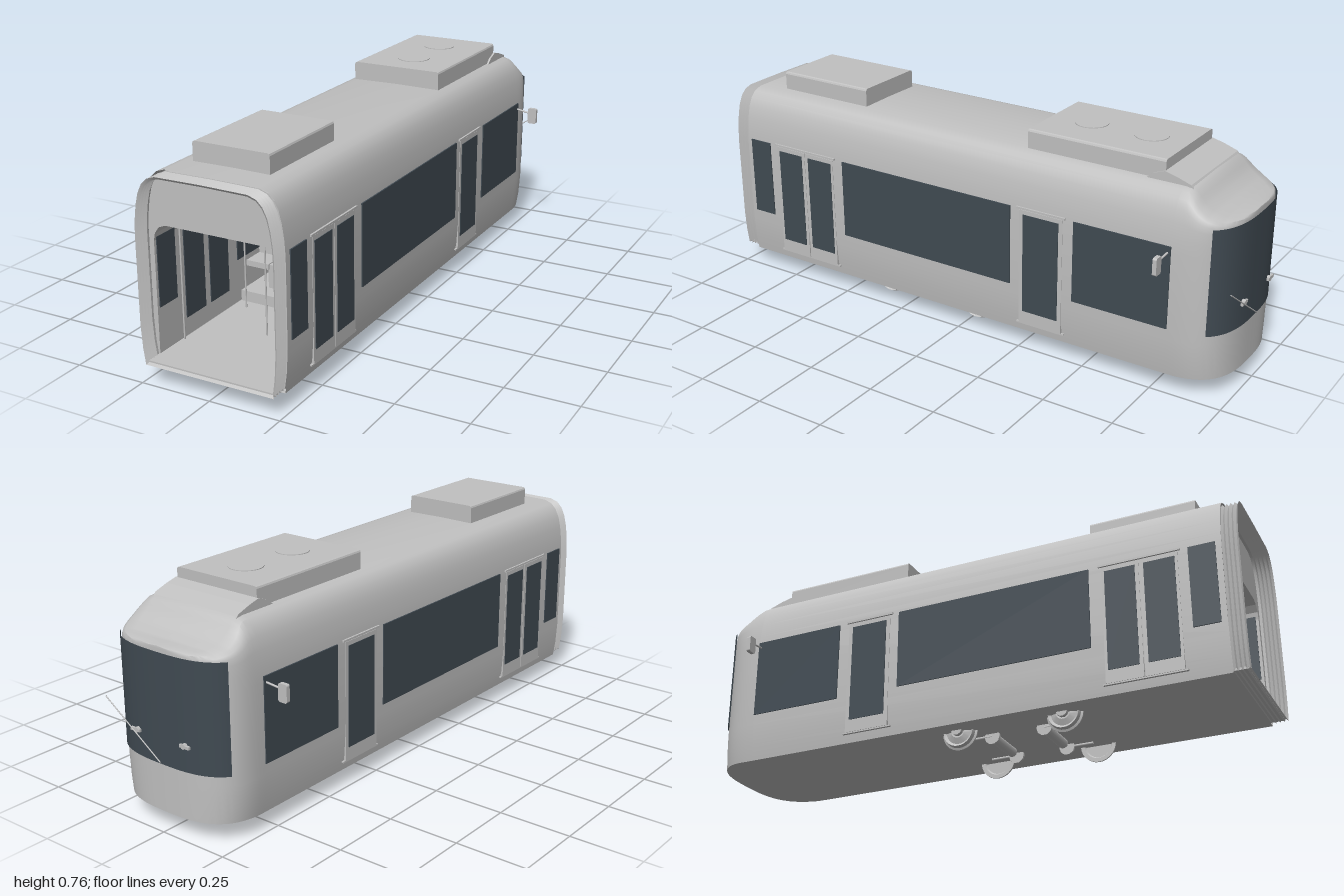
import * as THREE from 'three';
import { toCreasedNormals } from 'three/addons/utils/BufferGeometryUtils.js';

export function createModel() {
  const model = new THREE.Group();
  const grey = new THREE.MeshStandardMaterial({ color: 0xc0c0c0, side: THREE.DoubleSide });
  grey.name = 'lightGrey';
  const glass = new THREE.MeshStandardMaterial({ color: 0x404a52, side: THREE.DoubleSide });
  glass.name = 'darkGlass';

  const add = (name, geo, mat = grey, x = 0, y = 0, z = 0) => {
    const m = new THREE.Mesh(geo, mat);
    m.name = name;
    m.position.set(x, y, z);
    model.add(m);
    return m;
  };
  // Box given by its limits on each axis
  const box = (name, x0, x1, y0, y1, z0, z1, mat = grey) =>
    add(name, new THREE.BoxGeometry(Math.abs(x1 - x0), y1 - y0, Math.abs(z1 - z0)), mat,
      (x0 + x1) / 2, (y0 + y1) / 2, (z0 + z1) / 2);
  // Round bar between two points
  const rod = (name, a, b, r, mat = grey) => {
    const p = new THREE.Vector3(...a), q = new THREE.Vector3(...b), d = q.clone().sub(p);
    const m = add(name, new THREE.CylinderGeometry(r, r, d.length(), 10), mat);
    m.position.copy(p).add(q).multiplyScalar(0.5);
    m.quaternion.setFromUnitVectors(new THREE.Vector3(0, 1, 0), d.normalize());
    return m;
  };

  // Half cross-sections: along the saloon, and at the nose
  const mainHalf = [[0.237, 0.065], [0.245, 0.12], [0.25, 0.2], [0.25, 0.5], [0.247, 0.55], [0.24, 0.6],
    [0.23, 0.64], [0.215, 0.67], [0.195, 0.69], [0.165, 0.7], [0, 0.702]];
  const noseHalf = [[0.237, 0.07], [0.245, 0.12], [0.25, 0.2], [0.25, 0.5], [0.25, 0.54], [0.25, 0.575],
    [0.249, 0.59], [0.245, 0.598], [0.23, 0.605], [0.18, 0.61], [0, 0.613]];
  const section = (blend = 0, sx = 1, inset = 0) => {
    const half = mainHalf.map(([x, y], i) => {
      const px = THREE.MathUtils.lerp(x, noseHalf[i][0], blend) * sx;
      const py = THREE.MathUtils.lerp(y, noseHalf[i][1], blend);
      return [px * (1 - inset / 0.25), 0.38 + (py - 0.38) * (1 - inset / 0.32)];
    });
    const left = half.slice(0, -1).reverse().map(([x, y]) => [-x, y]);
    return [...half, ...left];
  };
  // Skin over closed rings of [x, y] points at given z
  const loft = (rings, crease) => {
    const pos = [], idx = [], n = rings[0].pts.length;
    rings.forEach(r => r.pts.forEach(([x, y]) => pos.push(x, y, r.z)));
    for (let i = 0; i < rings.length - 1; i++) {
      for (let j = 0; j < n; j++) {
        const a = i * n + j, b = i * n + (j + 1) % n;
        idx.push(a, a + n, b, b, a + n, b + n);
      }
    }
    const g = new THREE.BufferGeometry();
    g.setAttribute('position', new THREE.Float32BufferAttribute(pos, 3));
    g.setIndex(idx);
    return toCreasedNormals(g, crease);
  };

  // Body shell with a rounded nose and sloping brow
  const plan = t => [Math.pow(Math.max(0, Math.cos(t)), 0.7), -0.8 - 0.187 * Math.pow(Math.sin(t), 0.7)];
  const drop = z => {
    const k = [[-0.82, 0], [-0.84, 0.15], [-0.87, 0.52], [-0.9, 0.75], [-0.94, 0.92], [-1, 1]];
    if (z >= k[0][0]) return 0;
    const i = k.findIndex(p => z >= p[0]);
    return THREE.MathUtils.mapLinear(z, k[i - 1][0], k[i][0], k[i - 1][1], k[i][1]);
  };
  const rings = [{ z: 0.945, pts: section() }];
  for (let i = 0; i <= 28; i++) {
    const [w, z] = plan(i / 28 * Math.PI / 2);
    rings.push({ z, pts: section(drop(z), w) });
  }
  add('bodyShell', loft(rings, 0.6));

  // Wrap-round windscreen
  const screenPos = [], screenIdx = [], N = 40;
  for (let i = 0; i <= N; i++) {
    const t = THREE.MathUtils.lerp(0.55, Math.PI - 0.55, i / N);
    const [w, z] = plan(t < Math.PI / 2 ? t : Math.PI - t);
    const x = 0.254 * w * (t < Math.PI / 2 ? 1 : -1);
    screenPos.push(x, 0.232, z - 0.004, x, 0.597, z - 0.004);
    if (i < N) screenIdx.push(2 * i, 2 * i + 2, 2 * i + 1, 2 * i + 1, 2 * i + 2, 2 * i + 3);
  }
  const screen = new THREE.BufferGeometry();
  screen.setAttribute('position', new THREE.Float32BufferAttribute(screenPos, 3));
  screen.setIndex(screenIdx);
  screen.computeVertexNormals();
  add('windscreen', screen, glass);

  // Folded gangway at the open end
  const folds = [];
  for (let i = 0; i <= 8; i++) folds.push({ z: 0.944 + i * 0.007, pts: section(0, 1, i % 2 ? 0.014 : 0.006) });
  add('gangwayBellows', loft(folds, 0.3));
  box('gangwayFloor', -0.228, 0.228, 0.074, 0.082, 0.9, 0.99);

  // Saloon lining, with the bulkhead above the entrance
  const opening = [[-0.225, 0.082], [0.225, 0.082], [0.225, 0.46], [0.22, 0.485], [0.205, 0.507], [0.18, 0.517],
    [-0.18, 0.517], [-0.205, 0.507], [-0.22, 0.485], [-0.225, 0.46]].map(p => new THREE.Vector2(...p));
  const lining = new THREE.Shape(section(0, 1, 0.008).map(p => new THREE.Vector2(...p)));
  lining.holes.push(new THREE.Path(opening));
  add('saloonLining', new THREE.ExtrudeGeometry(lining, { depth: 1.68, bevelEnabled: false }), grey, 0, 0, -0.745);
  box('cabPartition', -0.23, 0.23, 0.08, 0.52, -0.745, -0.735);
  box('cabPartitionWindow', -0.17, -0.065, 0.35, 0.42, -0.735, -0.73, glass);
  box('signFrame', -0.065, 0.065, 0.453, 0.5, -0.735, -0.725);
  box('signPanel', -0.06, 0.06, 0.457, 0.496, -0.725, -0.721, glass);
  rod('partitionHandle', [-0.138, 0.325, -0.725], [-0.138, 0.35, -0.725], 0.002);

  for (const s of [-1, 1]) {
    // Side windows, seen from outside and inside
    const pane = (name, z0, z1, y0, y1) => {
      box(name, s * 0.247, s * 0.2535, y0, y1, z0, z1, glass);
      box(name + 'Inner', s * 0.222, s * 0.226, y0, Math.min(y1, 0.47), z0, z1, glass);
    };
    for (const [z0, z1] of [[0.925, 0.835], [0.495, -0.215], [-0.455, -0.8]]) pane('sideWindow', z0, z1, 0.235, 0.52);

    // Doors
    for (const [z0, z1] of [[0.8, 0.672], [0.668, 0.54], [-0.25, -0.415]])
      box('doorLeaf', s * 0.24, s * 0.2515, 0.1, 0.515, z0, z1);
    for (const [z0, z1] of [[0.79, 0.685], [0.655, 0.55], [-0.265, -0.4]]) pane('doorWindow', z0, z1, 0.145, 0.5);
    for (const [z0, z1] of [[0.81, 0.53], [-0.24, -0.425]]) {
      box('doorRail', s * 0.245, s * 0.255, 0.518, 0.525, z0, z1);
      box('doorSill', s * 0.237, s * 0.25, 0.095, 0.1, z0, z1);
    }

    // Wing mirrors
    rod('mirrorArm', [s * 0.245, 0.5, -0.79], [s * 0.31, 0.49, -0.785], 0.0035);
    const r = new THREE.Shape();
    r.absarc(0.01, 0.023, 0.007, 0, Math.PI / 2);
    r.absarc(-0.01, 0.023, 0.007, Math.PI / 2, Math.PI);
    r.absarc(-0.01, -0.023, 0.007, Math.PI, Math.PI * 1.5);
    r.absarc(0.01, -0.023, 0.007, Math.PI * 1.5, Math.PI * 2);
    add('wingMirror', new THREE.ExtrudeGeometry(r, { depth: 0.014, bevelEnabled: false }), grey, s * 0.319, 0.481, -0.794);

    // Seats on low platforms
    box('seatPlatform', s * 0.04, s * 0.222, 0.082, 0.12, -0.15, 0.48);
    for (const z of [0.36, 0.1, -0.14]) {
      for (const x of [0.046, 0.137]) {
        box('seatBack', s * x, s * (x + 0.087), 0.2, 0.35, z - 0.012, z);
        box('seatCushion', s * x, s * (x + 0.087), 0.195, 0.215, z, z + 0.08);
      }
      box('seatPedestal', s * 0.12, s * 0.15, 0.12, 0.195, z + 0.02, z + 0.06);
    }
    rod('grabPole', [s * 0.218, 0.082, 0.815], [s * 0.218, 0.505, 0.815], 0.003);
    rod('grabPole', [s * 0.177, 0.082, 0.52], [s * 0.177, 0.505, 0.52], 0.003);

    // Wheels and brake discs
    for (const z of [0.36, -0.02]) {
      const profile = [[0, -0.008], [0.025, -0.012], [0.045, -0.004], [0.054, -0.011], [0.057, 0.004], [0.064, 0.007],
        [0.064, 0.012], [0.05, 0.012], [0.045, 0.004], [0, 0.004]].map(p => new THREE.Vector2(...p));
      const wheel = add('wheel', toCreasedNormals(new THREE.LatheGeometry(profile, 28), 0.5), grey, s * 0.16, 0.068, z);
      wheel.rotation.z = s * Math.PI / 2;
      rod('axleHub', [s * 0.165, 0.068, z], [s * 0.185, 0.068, z], 0.02);
    }
    for (const z of [0.265, 0.075]) rod('brakeDisc', [s * 0.095, 0.055, z], [s * 0.104, 0.055, z], 0.028);
    for (const z of [0.36, -0.02])
      rod('linkRod', [s * 0.1, 0.056, z], [s * 0.1, 0.056, z > 0 ? 0.265 : 0.075], 0.005);

    // Wiper spindles
    rod('wiperSpindle', [s * 0.1, 0.32, -0.985], [s * 0.1, 0.32, -0.998], 0.009);
    box('wiperMount', s * 0.085, s * 0.125, 0.315, 0.325, -0.998, -0.99);
  }
  rod('centrePole', [0, 0.082, 0.67], [0, 0.517, 0.67], 0.003);
  for (const z of [0.265, 0.075]) rod('tractionMotor', [-0.09, 0.056, z], [0.062, 0.056, z], 0.018);
  rod('wiperBlade', [0.23, 0.4, -0.998], [0, 0.24, -0.998], 0.002);

  // Roof equipment
  const pod = (name, w, z0, z1) => {
    const h = 0.067, c = 0.008;
    const s = new THREE.Shape([[-w, 0], [w, 0], [w, h - c], [w - c * 0.3, h - c * 0.3], [w - c, h],
      [c - w, h], [c * 0.3 - w, h - c * 0.3], [-w, h - c]].map(p => new THREE.Vector2(...p)));
    add(name, new THREE.ExtrudeGeometry(s, { depth: z1 - z0, bevelEnabled: false }), grey, 0, 0.698, z0);
  };
  pod('rearRoofUnit', 0.136, 0.465, 0.84);
  pod('cabRoofUnit', 0.168, -0.73, -0.23);
  for (const z of [-0.595, -0.375])
    add('roofFan', new THREE.CylinderGeometry(0.057, 0.057, 0.004, 32), grey, 0, 0.7655, z);

  // Low fairing between the roof unit and the brow
  const fairing = new THREE.Shape([[0.66, 0.69], [0.69, 0.715], [0.73, 0.73], [0.77, 0.72], [0.82, 0.703], [0.83, 0.69]]
    .map(p => new THREE.Vector2(...p)));
  const f = add('roofFairing', new THREE.ExtrudeGeometry(fairing, { depth: 0.35, bevelEnabled: false }), grey, -0.175, 0, 0);
  f.rotation.y = Math.PI / 2;

  return model;
}
